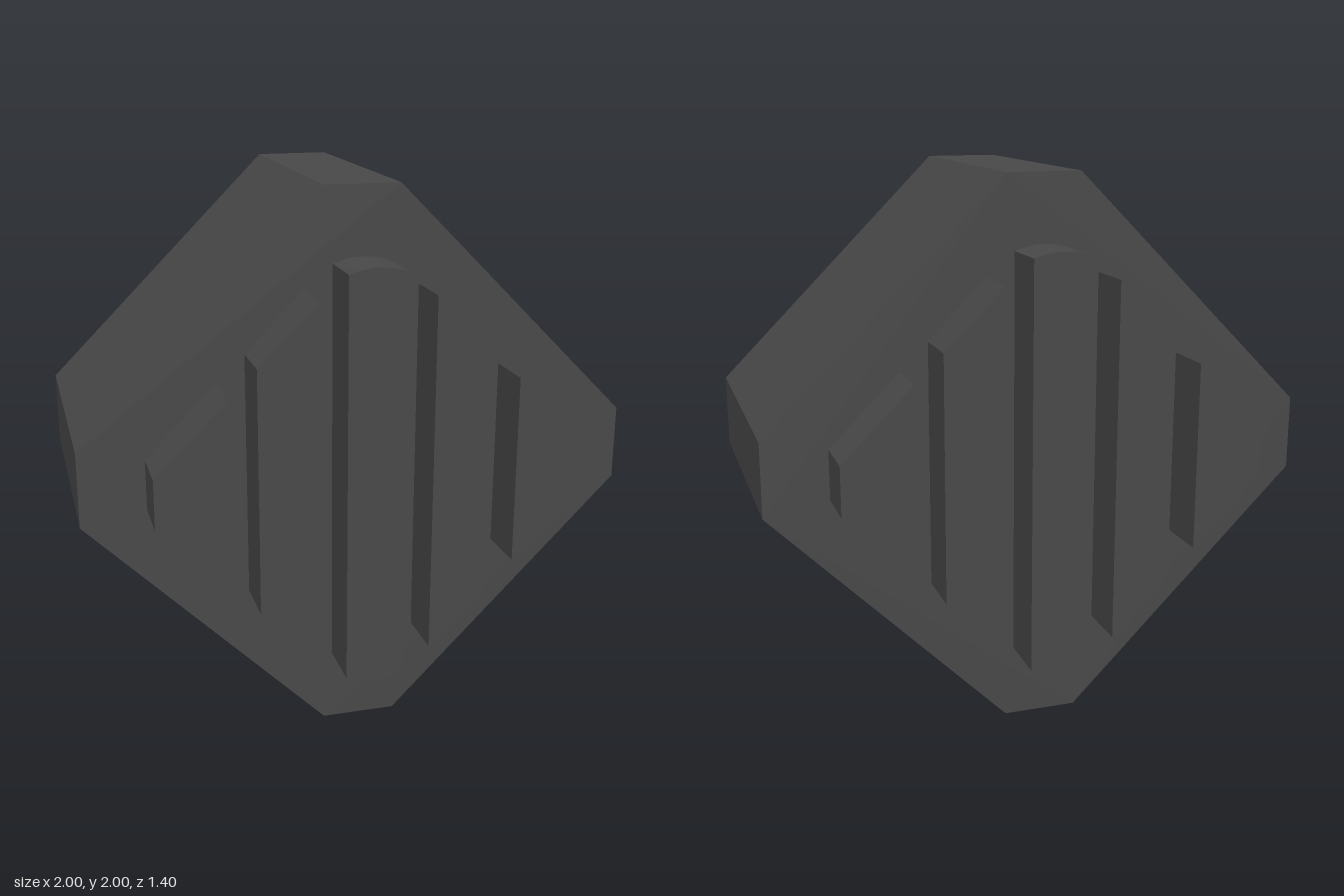
import * as THREE from 'three';

const material = new THREE.MeshStandardMaterial({ color: 0x484848, flatShading: true });

// Extrude an outline (given around a centre at y = 1) from z0 to z0 + depth
function prism(name, shape, z0, depth) {
  const geometry = new THREE.ExtrudeGeometry(shape, { depth, bevelEnabled: false, curveSegments: 8 });
  geometry.translate(0, 1, z0);
  const mesh = new THREE.Mesh(geometry, material);
  mesh.name = name;
  return mesh;
}

const polygon = (points) => new THREE.Shape(points.map(([x, y]) => new THREE.Vector2(x, y)));

// Upright bar with ends sloping from height h0 at x0 to h1 at x1
const slantedBar = (x0, h0, x1, h1) => polygon([[x0, -h0], [x1, -h1], [x1, h1], [x0, h0]]);

// Central bar with gently bowed ends
function bowedBar(w, h, peak) {
  const shape = new THREE.Shape();
  shape.moveTo(-w, -h);
  shape.quadraticCurveTo(0, h - 2 * peak, w, -h);
  shape.lineTo(w, h);
  shape.quadraticCurveTo(0, 2 * peak - h, -w, h);
  shape.closePath();
  return shape;
}

export function createModel() {
  const group = new THREE.Group();
  group.name = 'ribbedBlock';

  // Diamond block with clipped corners
  const c = 0.135;
  group.add(prism('body', polygon([
    [-c, -1], [c, -1], [1, -c], [1, c], [c, 1], [-c, 1], [-1, c], [-1, -c],
  ]), -0.5, 1));

  // Raised ribs on the front and back faces
  for (const [face, z] of [['front', 0.5], ['back', -0.7]]) {
    group.add(prism(face + 'CentreRib', bowedBar(0.105, 0.735, 0.755), z, 0.2));
    for (const [side, s] of [['Left', 1], ['Right', -1]]) {
      group.add(prism(face + side + 'InnerRib', slantedBar(s * 0.205, 0.65, s * 0.415, 0.44), z, 0.2));
      group.add(prism(face + side + 'OuterRib', slantedBar(s * 0.515, 0.342, s * 0.768, 0.09), z, 0.2));
    }
  }
  return group;
}
